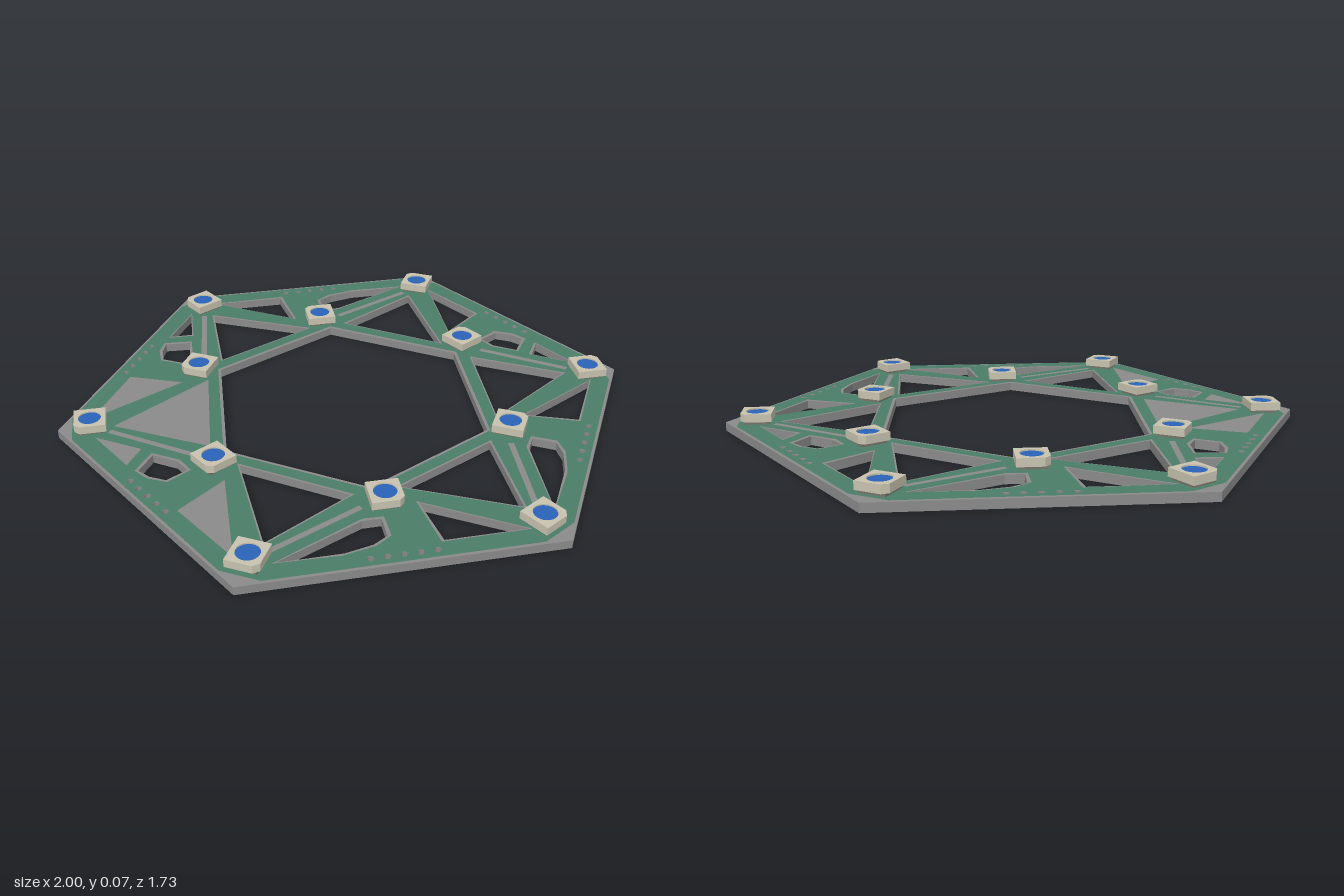
import * as THREE from 'three';

const material = (color, side = THREE.FrontSide) =>
  new THREE.MeshStandardMaterial({ color, side, roughness: 0.8 });
const grey = material(0x8a8a8a);
const green = material(0x4a7d68, THREE.DoubleSide);
const cream = material(0xc8c3b0);
const brown = material(0x77736a);
const blue = material(0x2a62b8);

// Turn a point by k sixths of a circle
const turn = ([x, y], k) => {
  const a = k * Math.PI / 3, c = Math.cos(a), s = Math.sin(a);
  return [x * c - y * s, x * s + y * c];
};

// Push the corners of a polygon away from its middle
const grow = (pts, d) => {
  const cx = pts.reduce((s, p) => s + p[0], 0) / pts.length;
  const cy = pts.reduce((s, p) => s + p[1], 0) / pts.length;
  return pts.map(([x, y]) => {
    const l = Math.hypot(x - cx, y - cy);
    return [x + (x - cx) / l * d, y + (y - cy) / l * d];
  });
};

const toPoints = pts => pts.map(p => new THREE.Vector2(...p));
const circle = (x, y, r, n = 12) => Array.from({ length: n }, (_, i) => {
  const a = i / n * Math.PI * 2;
  return [x + r * Math.cos(a), y + r * Math.sin(a)];
});
const shapeWith = (outline, holes) => {
  const shape = new THREE.Shape(toPoints(outline));
  shape.holes = holes.map(h => new THREE.Path(toPoints(h)));
  return shape;
};
const sixfold = pts => [0, 1, 2, 3, 4, 5].flatMap(k => pts.map(p => turn(p, k)));

// Openings of one side of the hexagon, drawn for the far side
const frameGap = [[-0.39, 0.79], [-0.13, 0.79], [-0.10, 0.61]];
const cornerGap = [[-0.41, 0.69], [-0.06, 0.52], [-0.41, 0.35]];
const padGap = [[0.03, 0.66], [0.03, 0.74], [0.08, 0.77], [0.13, 0.78], [0.17, 0.70], [0.09, 0.66]];
const endGap = [[0.19, 0.79], [0.37, 0.79], [0.23, 0.72]];
const joinedGap = [[0.03, 0.66], [0.03, 0.74], [0.08, 0.77], [0.17, 0.79], [0.37, 0.79], [0.09, 0.66]];
const slit = [[0.084, 0.588], [0.384, 0.728], [0.376, 0.746], [0.076, 0.606]];

function openings() {
  const cut = [], closed = [], pins = [], slits = [];
  for (let k = 0; k < 6; k++) {
    const put = (list, pts) => list.push(pts.map(p => turn(p, k)));
    put(k === 2 || k === 3 ? closed : cut, frameGap);
    put(k === 2 ? closed : cut, cornerGap);
    if (k === 0 || k === 2 || k === 3) {
      put(cut, padGap);
      put(k === 3 ? closed : cut, endGap);
    } else put(cut, joinedGap);
    for (let i = -2; i <= 2; i++) put(pins, circle(i * 0.05, 0.828, 0.011));
    put(slits, slit);
  }
  cut.push(sixfold([[0.03, 0.505]]));
  return { cut, closed, pins, slits };
}

// Square lamp with one clipped corner and a round window
function lamp(radius, angle) {
  const g = new THREE.Group();
  g.name = 'lamp';
  const add = (name, geometry, mat, y) => {
    const mesh = new THREE.Mesh(geometry, mat);
    mesh.name = name;
    mesh.position.y = y;
    g.add(mesh);
  };
  const h = 0.053;
  const outline = [[-h, -h], [h, -h], [h, h - 0.018], [h - 0.018, h], [-h, h]];
  const body = new THREE.ExtrudeGeometry(
    shapeWith(outline, [circle(0, 0, 0.038, 24)]), { depth: 0.028, bevelEnabled: false });
  add('lampBase', new THREE.BoxGeometry(0.088, 0.018, 0.088), brown, 0.039);
  add('lampBody', body.rotateX(-Math.PI / 2), cream, 0.042);
  add('lampWindow', new THREE.CylinderGeometry(0.038, 0.038, 0.02, 24), blue, 0.055);
  g.position.set(radius * Math.cos(angle), 0, -radius * Math.sin(angle));
  g.rotation.y = angle;
  return g;
}

export function createModel() {
  const model = new THREE.Group();
  model.name = 'hexagonalCircuitBoard';
  const { cut, closed, pins, slits } = openings();

  // Board core
  const core = new THREE.Mesh(new THREE.ExtrudeGeometry(
    shapeWith(sixfold([[0.5, 0.866]]), [...cut, ...pins]),
    { depth: 0.03, bevelEnabled: false }), grey);
  core.name = 'boardCore';
  core.rotation.x = -Math.PI / 2;
  core.position.y = 0.001;
  model.add(core);

  // Green coating on both faces, bare around openings and at the tips
  const coat = new THREE.ShapeGeometry(shapeWith(
    sixfold([[0.42, 0.857], [-0.42, 0.857]]),
    [...[...cut, ...closed].map(p => grow(p, 0.012)), ...pins, ...slits]));
  for (const [name, y] of [['topCoating', 0.0322], ['bottomCoating', 0]]) {
    const mesh = new THREE.Mesh(coat, green);
    mesh.name = name;
    mesh.rotation.x = -Math.PI / 2;
    mesh.position.y = y;
    model.add(mesh);
  }

  // Lamps at the six tips and the six inner crossings
  for (let k = 0; k < 6; k++) {
    const a = k * Math.PI / 3;
    model.add(lamp(0.89, a), lamp(0.577, a + Math.PI / 6));
  }
  return model;
}
